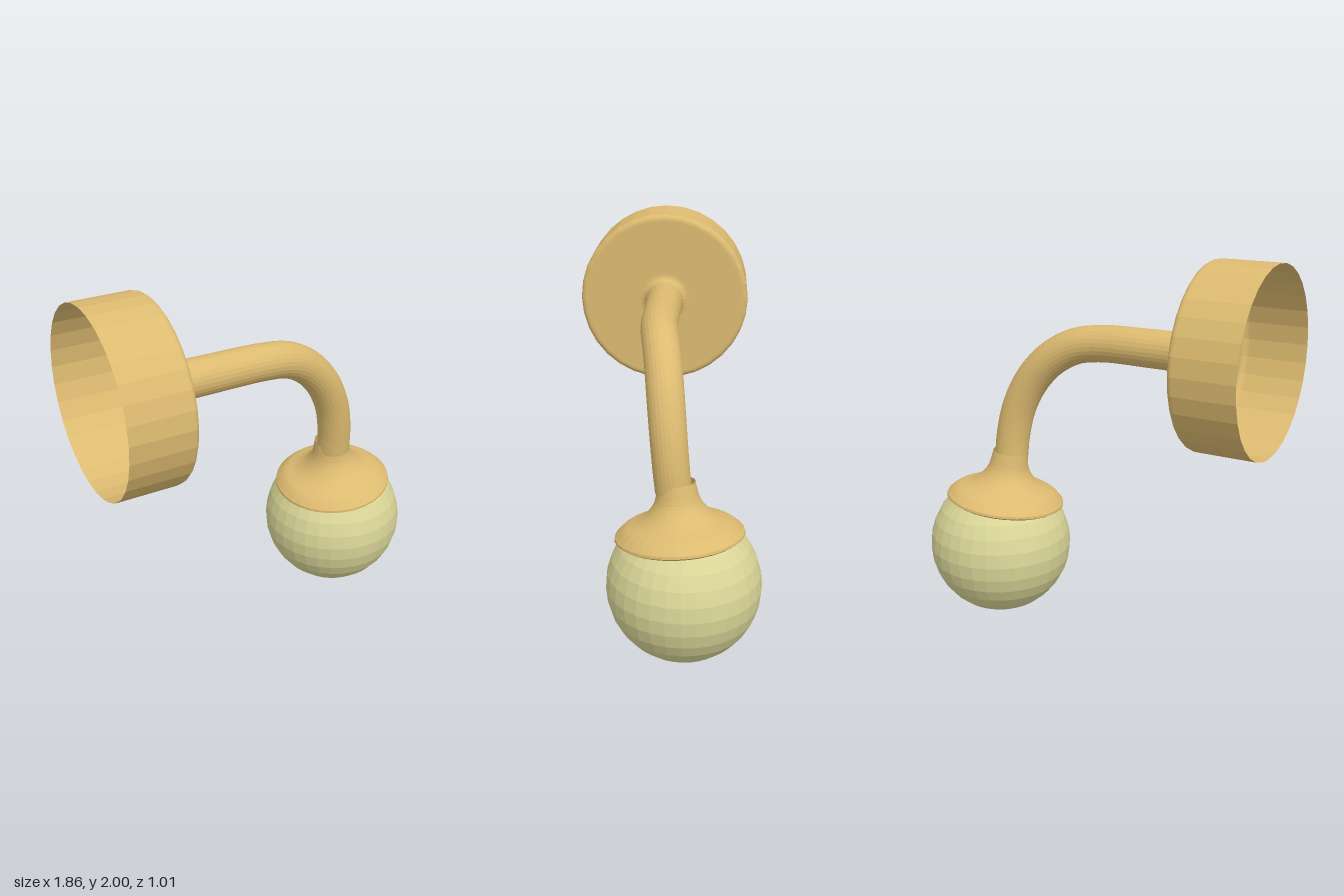
import * as THREE from 'three';

const V = (x, y, z) => new THREE.Vector3(x, y, z);
const metal = new THREE.MeshStandardMaterial({ color: 0xdcba70, flatShading: true, side: THREE.DoubleSide });
const glass = new THREE.MeshStandardMaterial({ color: 0xdad698, flatShading: true });

function lathe(name, points, segments) {
  const profile = points.map(([r, h]) => new THREE.Vector2(r, h));
  const mesh = new THREE.Mesh(new THREE.LatheGeometry(profile, segments), metal);
  mesh.name = name;
  return mesh;
}

// Tube whose radius changes evenly from r0 to r1
function taperedTube(path, steps, r0, r1, sides) {
  const geo = new THREE.TubeGeometry(path, steps, r0, sides, false);
  const pos = geo.attributes.position;
  const p = V(0, 0, 0);
  for (let i = 0; i <= steps; i++) {
    const t = i / steps;
    const centre = path.getPointAt(t);
    const scale = THREE.MathUtils.lerp(1, r1 / r0, t);
    for (let j = 0; j <= sides; j++) {
      const k = i * (sides + 1) + j;
      p.fromBufferAttribute(pos, k).sub(centre).multiplyScalar(scale).add(centre);
      pos.setXYZ(k, p.x, p.y, p.z);
    }
  }
  geo.computeVertexNormals();
  return geo;
}

export function createModel() {
  const group = new THREE.Group();

  // Hollow wall cup with rounded front edge, open at the back
  const cup = [[0.465, -0.93]];
  for (let i = 0; i <= 4; i++) {
    const a = (i / 4) * Math.PI / 2;
    cup.push([0.435 + 0.03 * Math.cos(a), -0.62 + 0.03 * Math.sin(a)]);
  }
  cup.push([0, -0.59]);
  const wallCup = lathe('wallCup', cup, 32);
  wallCup.rotation.z = -Math.PI / 2;
  wallCup.position.set(0, 1.535, 0.037);

  // Small fillet where the arm leaves the cup
  const fillet = [];
  for (let i = 0; i <= 5; i++) {
    const a = (i / 5) * Math.PI / 2;
    fillet.push([0.137 - 0.04 * Math.sin(a), -0.55 - 0.04 * Math.cos(a)]);
  }
  const armCollar = lathe('armCollar', fillet, 32);
  armCollar.rotation.z = -Math.PI / 2;
  armCollar.position.set(0, 1.538, 0.035);

  // Curved arm
  const path = new THREE.CatmullRomCurve3([
    V(-0.6, 1.537, 0.033), V(-0.3, 1.538, 0.032), V(0, 1.532, 0.03),
    V(0.14, 1.505, 0.015), V(0.27, 1.43, -0.005), V(0.38, 1.31, -0.022),
    V(0.455, 1.16, -0.038), V(0.49, 1.0, -0.053), V(0.499, 0.86, -0.067),
  ]);
  const arm = new THREE.Mesh(taperedTube(path, 48, 0.098, 0.089, 28), metal);
  arm.name = 'arm';

  // Flared holder, tilted to follow the end of the arm
  const flare = new THREE.SplineCurve([
    [0.316, 0.012], [0.27, 0.052], [0.2, 0.083], [0.148, 0.122], [0.11, 0.18], [0.091, 0.27],
  ].map(([r, h]) => new THREE.Vector2(r, h))).getPoints(20).map((p) => [p.x, p.y]);
  const holder = lathe('globeHolder', [[0.25, 0.005], [0.3, -0.012], [0.318, 0], ...flare], 32);
  holder.quaternion.setFromUnitVectors(V(0, 1, 0), V(-0.1, 1, 0.07).normalize());
  holder.position.set(0.522, 0.64, -0.1);

  // Glass globe
  const globe = new THREE.Mesh(new THREE.SphereGeometry(0.383, 32, 16), glass);
  globe.name = 'globe';
  globe.position.set(0.545, 0.388, -0.122);

  group.add(wallCup, armCollar, arm, holder, globe);
  return group;
}
